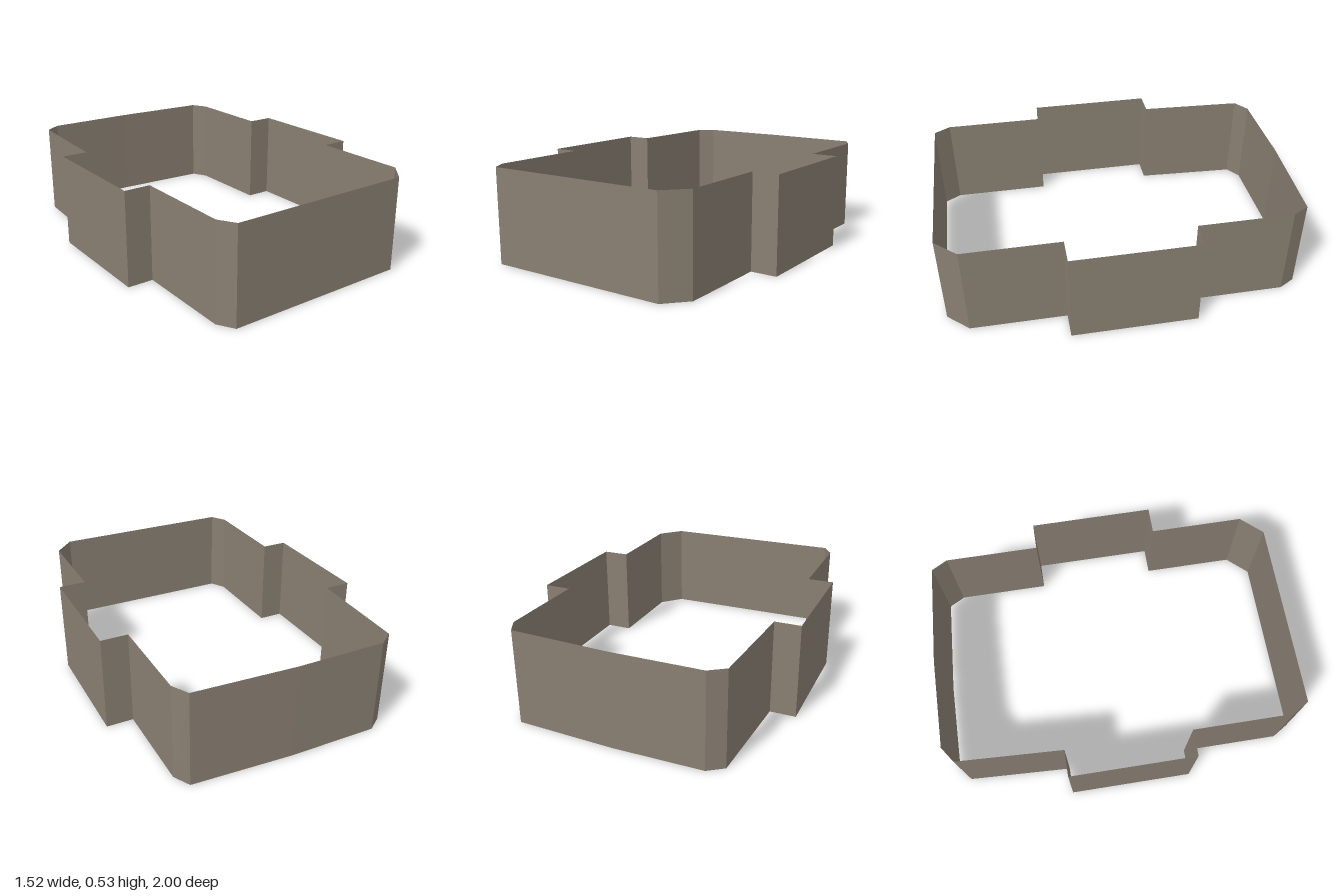
import * as THREE from 'three';

const HEIGHT = 0.53;

// Footprint corners [x, z], walked once around the wall
const OUTLINE = [
  [0.5, 1], [0.61, 0.88],                                     // front corner, +x side
  [0.61, 0.35], [0.76, 0.35], [0.76, -0.35], [0.61, -0.35],   // bay on the +x side
  [0.61, -0.88], [0.56, -0.97],                               // back corner, +x side
  [0, -1], [-0.5, -1], [-0.585, -0.94],                       // bent back wall, -x corner
  [-0.615, -0.35], [-0.76, -0.35], [-0.76, 0.35], [-0.615, 0.35], // bay on the -x side
  [-0.615, 0.91], [-0.56, 1],                                 // front corner, -x side
];

// One upright panel per outline edge, facing outwards
function wallGeometry(outline, height) {
  const positions = [];
  outline.forEach(([ax, az], i) => {
    const [bx, bz] = outline[(i + 1) % outline.length];
    positions.push(
      ax, 0, az, bx, 0, bz, bx, height, bz,
      ax, 0, az, bx, height, bz, ax, height, az,
    );
  });
  const geometry = new THREE.BufferGeometry();
  geometry.setAttribute('position', new THREE.Float32BufferAttribute(positions, 3));
  geometry.computeVertexNormals();
  return geometry;
}

export function createModel() {
  const group = new THREE.Group();
  group.name = 'buildingShell';

  const stone = new THREE.MeshStandardMaterial({
    color: 0x897f72, side: THREE.DoubleSide, flatShading: true,
  });
  stone.name = 'greyBrown';

  // Open wall ring without roof or floor
  const walls = new THREE.Mesh(wallGeometry(OUTLINE, HEIGHT), stone);
  walls.name = 'outerWalls';
  group.add(walls);
  return group;
}
